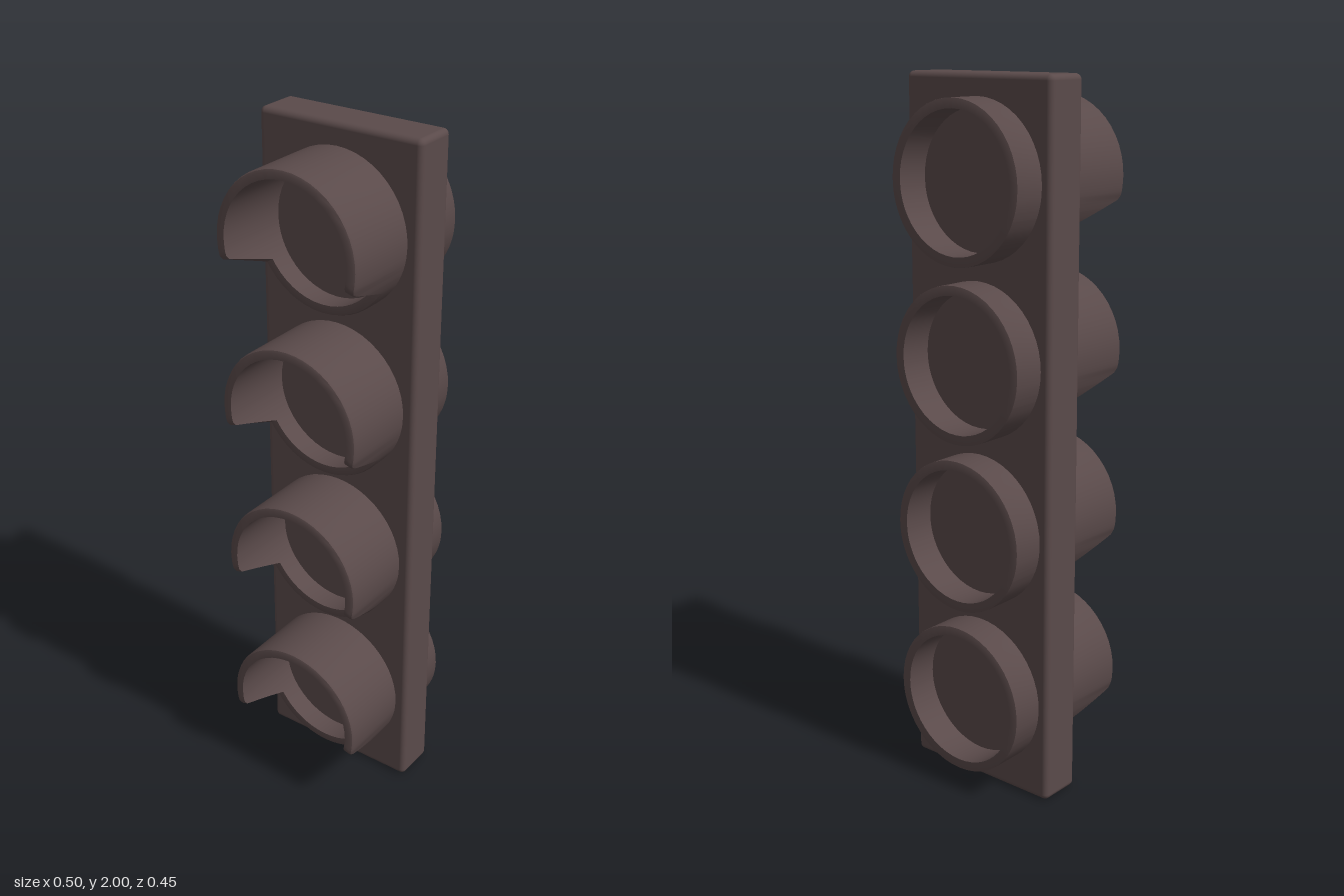
import * as THREE from 'three';
import { RoundedBoxGeometry } from 'three/addons/geometries/RoundedBoxGeometry.js';
import { toCreasedNormals } from 'three/addons/utils/BufferGeometryUtils.js';

const OUTER = 0.216, INNER = 0.189;

// Side outline of the visor: [height from the lens centre, reach in z]
const VISOR_CUT = [[-0.115, 0.065], [-0.098, 0.115], [-0.081, 0.165], [-0.067, 0.206], [-0.063, 0.217], [-0.052, 0.224], [-0.04, 0.225]];

function visorReach(y) {
  if (y <= VISOR_CUT[0][0]) return VISOR_CUT[0][1];
  for (let i = 1; i < VISOR_CUT.length; i++) {
    const [y0, z0] = VISOR_CUT[i - 1], [y1, z1] = VISOR_CUT[i];
    if (y <= y1) return z0 + (z1 - z0) * (y - y0) / (y1 - y0);
  }
  return 0.225;
}

// Thick-walled tube along z whose rim follows reach(y)
function tubeGeometry(base, reach, bevel) {
  const angles = [];
  for (let i = 0; i < 48; i++) angles.push(-Math.PI / 2 + i * Math.PI / 24);
  for (const [y] of VISOR_CUT) {
    const a = Math.asin(y / OUTER);
    angles.push(a, Math.PI - a);
  }
  angles.sort((a, b) => a - b);
  const positions = [], index = [], n = 6;
  for (const a of angles) {
    const z = reach(OUTER * Math.sin(a));
    const section = [
      [OUTER, base], [OUTER, z - bevel], [OUTER - bevel * 0.3, z - bevel * 0.3],
      [OUTER - bevel, z], [INNER, z], [INNER, base],
    ];
    for (const [r, d] of section) positions.push(r * Math.cos(a), r * Math.sin(a), d);
  }
  for (let j = 0; j < angles.length; j++) {
    const k = (j + 1) % angles.length;
    for (let i = 0; i < n - 1; i++) {
      const a = j * n + i, b = k * n + i;
      index.push(a, b, b + 1, a, b + 1, a + 1);
    }
  }
  const geometry = new THREE.BufferGeometry();
  geometry.setAttribute('position', new THREE.Float32BufferAttribute(positions, 3));
  geometry.setIndex(index);
  return toCreasedNormals(geometry, 0.6);
}

export function createModel() {
  const model = new THREE.Group();
  model.name = 'lampPanel';
  const material = new THREE.MeshStandardMaterial({ color: 0x5a4a4a });

  // Upright backing plate
  const plate = new THREE.Mesh(new RoundedBoxGeometry(0.496, 2, 0.13, 4, 0.016), material);
  plate.name = 'plate';
  plate.position.set(0, 1, -0.065);
  model.add(plate);

  // Four hooded openings, each with a plain collar behind
  const visorGeometry = tubeGeometry(-0.02, visorReach, 0.009);
  const collarGeometry = tubeGeometry(0.11, () => 0.226, 0.0005);
  [1.725, 1.245, 0.765, 0.278].forEach((y, i) => {
    const lamp = new THREE.Group();
    lamp.name = `lamp${i + 1}`;
    lamp.position.set(-0.003, y, 0);
    const visor = new THREE.Mesh(visorGeometry, material);
    visor.name = 'visor';
    const collar = new THREE.Mesh(collarGeometry, material);
    collar.name = 'rearCollar';
    collar.rotation.y = Math.PI;
    lamp.add(visor, collar);
    model.add(lamp);
  });
  return model;
}
